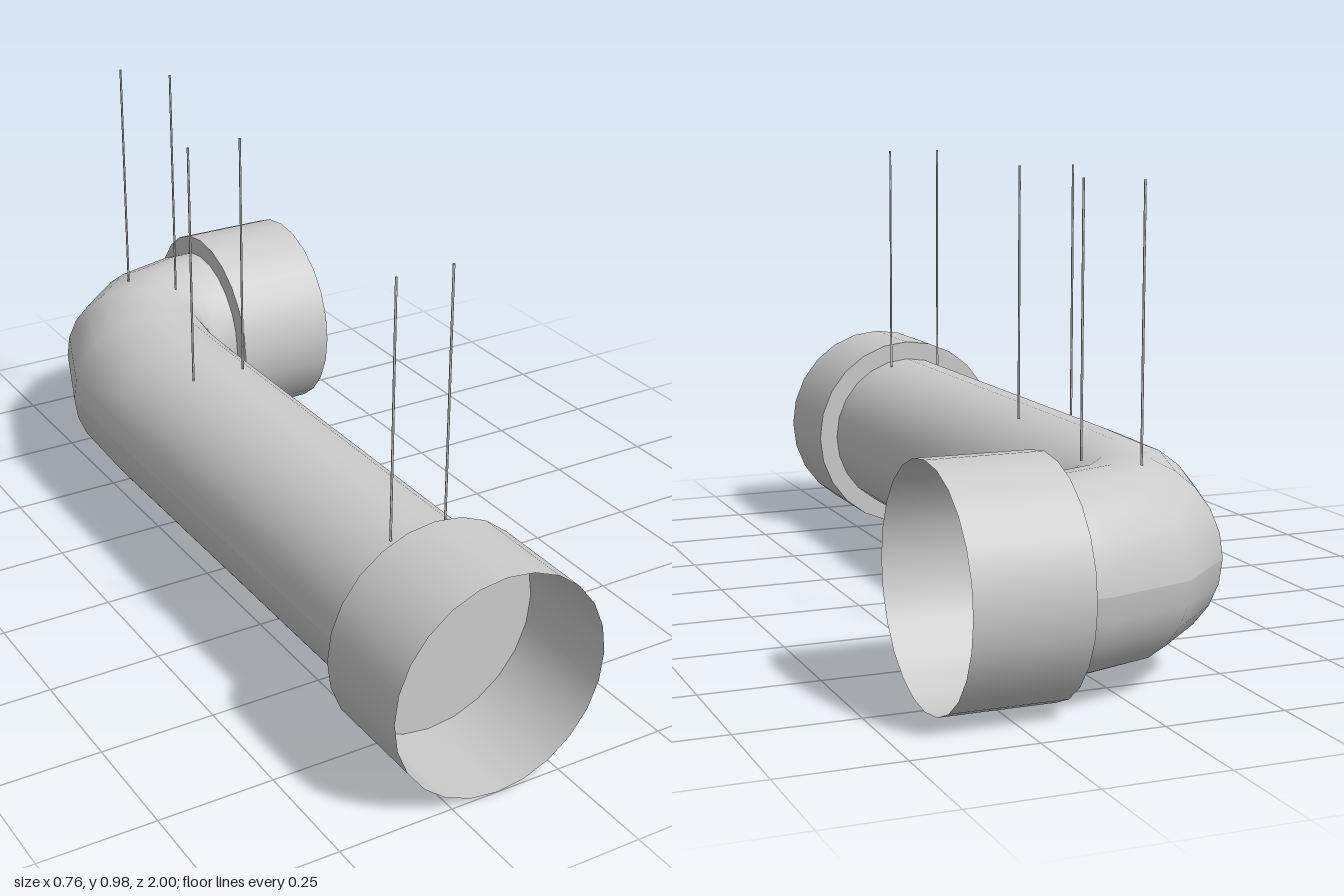
import * as THREE from 'three';

const SIDES = 24, PIPE_R = 0.195, COLLAR_R = 0.24, COLLAR_LEN = 0.24;
const CX = -0.145, CY = 0.24, CZ = -0.76;

const grey = new THREE.MeshStandardMaterial({ color: 0xcccccc, side: THREE.DoubleSide });

function add(parent, name, geometry) {
  const mesh = new THREE.Mesh(geometry, grey);
  mesh.name = name;
  parent.add(mesh);
  return mesh;
}

// Each section is the outer and inner edge of the elbow in plan: [xOuter, zOuter, xInner, zInner]
function pipeGeometry(sections) {
  const pos = [], index = [];
  sections.forEach(([xo, zo, xi, zi], s) => {
    for (let i = 0; i <= SIDES; i++) {
      const a = (i / SIDES) * Math.PI * 2, c = Math.cos(a) / 2;
      pos.push((xo + xi) / 2 + (xo - xi) * c, CY + PIPE_R * Math.sin(a), (zo + zi) / 2 + (zo - zi) * c);
      if (s > 0 && i < SIDES) {
        const b = s * (SIDES + 1) + i, p = b - SIDES - 1;
        index.push(p, b, p + 1, p + 1, b, b + 1);
      }
    }
  });
  const g = new THREE.BufferGeometry();
  g.setAttribute('position', new THREE.Float32BufferAttribute(pos, 3));
  g.setIndex(index);
  g.computeVertexNormals();
  return g;
}

// Open socket along +z with a stepped back ring and the closed pipe end inside
function makeSocket(name) {
  const socket = new THREE.Group();
  socket.name = name;
  const wall = new THREE.CylinderGeometry(COLLAR_R, COLLAR_R, COLLAR_LEN, SIDES, 1, true);
  add(socket, 'socketWall', wall.rotateX(Math.PI / 2).translate(0, 0, COLLAR_LEN / 2));
  add(socket, 'socketBackRing', new THREE.RingGeometry(PIPE_R, COLLAR_R, SIDES));
  add(socket, 'pipeEnd', new THREE.CircleGeometry(PIPE_R, SIDES));
  return socket;
}

export function createModel() {
  const model = new THREE.Group();
  model.name = 'pipeElbow';

  // Long straight run, faceted bend and short run
  add(model, 'pipe', pipeGeometry([
    [CX - PIPE_R, 0.76, CX + PIPE_R, 0.76],
    [CX - PIPE_R, -0.31, CX + PIPE_R, -0.31],
    [-0.33, -0.53, 0.052, -0.43],
    [-0.24, -0.77, 0.058, -0.52],
    [-0.1, -0.9, 0.066, -0.547],
    [0.09, -0.955, 0.08, -0.565],
    [0.14, CZ - PIPE_R, 0.14, CZ + PIPE_R],
  ]));

  // Sockets at both ends
  const front = makeSocket('frontSocket');
  front.position.set(CX, CY, 0.76);
  const side = makeSocket('sideSocket');
  side.position.set(0.14, CY, CZ);
  side.rotation.y = Math.PI / 2;
  model.add(front, side);

  // Thin hanger rods in pairs above the pipe
  const bottom = 0.425, top = 0.98;
  const rods = [[-0.207, 0.7], [-0.08, 0.7], [-0.207, -0.13], [-0.08, -0.13], [-0.085, -0.72], [-0.003, -0.62]];
  for (const [x, z] of rods) {
    const rod = add(model, 'hangerRod', new THREE.CylinderGeometry(0.0025, 0.0025, top - bottom, 6));
    rod.position.set(x, (top + bottom) / 2, z);
  }
  return model;
}
